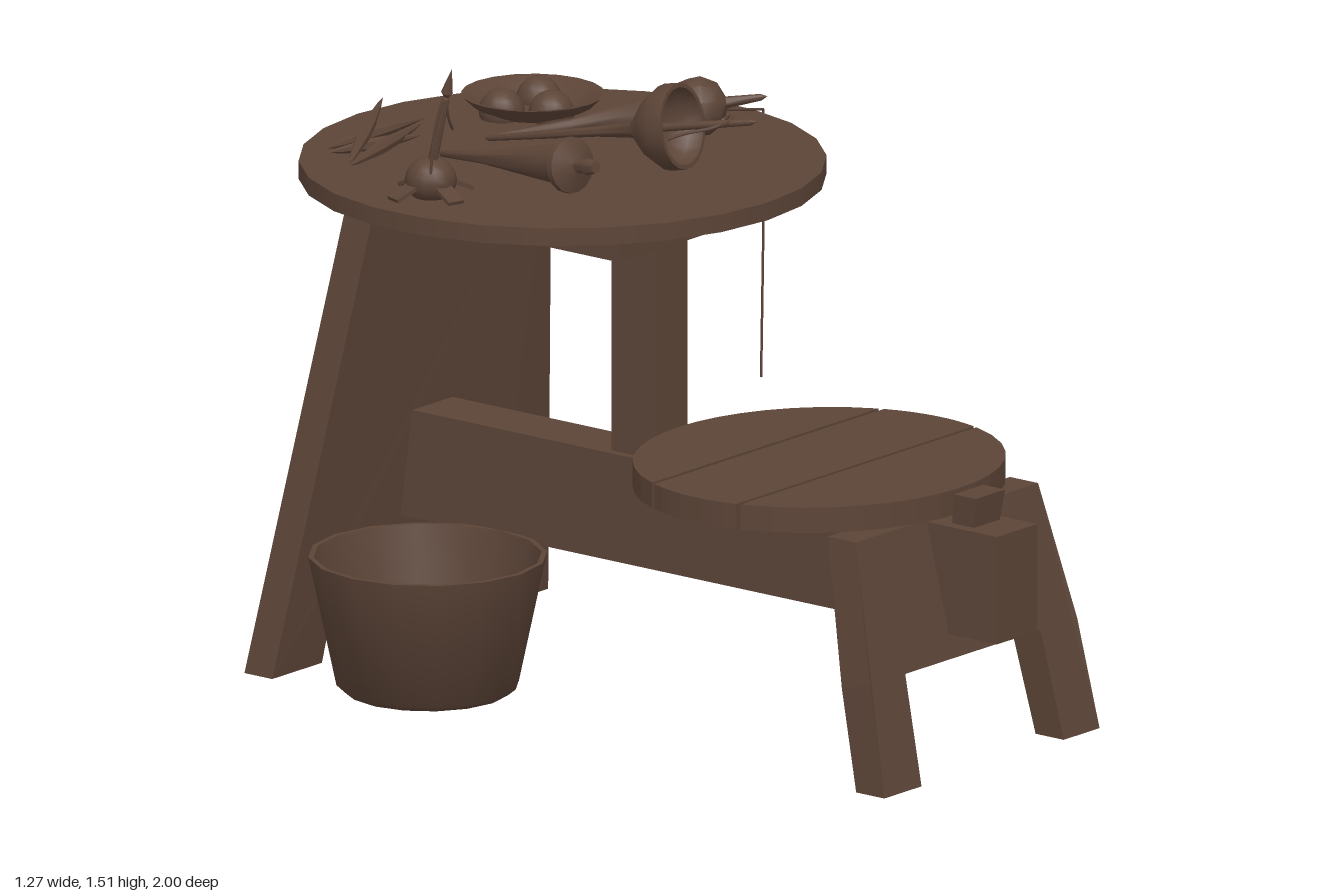
import * as THREE from 'three';
import { toCreasedNormals } from 'three/addons/utils/BufferGeometryUtils.js';

const V = (x, y, z) => new THREE.Vector3(x, y, z);

export function createModel() {
  const model = new THREE.Group();
  model.name = 'workBenchWithToys';
  const wood = new THREE.MeshStandardMaterial({ color: 0x5c4437, side: THREE.DoubleSide });
  wood.name = 'darkWood';

  const add = (name, geometry, parent = model) => {
    const mesh = new THREE.Mesh(geometry, wood);
    mesh.name = name;
    parent.add(mesh);
    return mesh;
  };
  // Box from its limits on each axis
  const box = (name, x0, x1, y0, y1, z0, z1) => {
    const m = add(name, new THREE.BoxGeometry(x1 - x0, y1 - y0, z1 - z0));
    m.position.set((x0 + x1) / 2, (y0 + y1) / 2, (z0 + z1) / 2);
    return m;
  };
  const extrude = (points, depth) => new THREE.ExtrudeGeometry(
    new THREE.Shape(points.map(([x, y]) => new THREE.Vector2(x, y))), { depth, bevelEnabled: false });
  // Turned part: profile of [radius, height], base at a, pointing to b
  const turned = (name, profile, a, b, sides = 12, parent = model) => {
    const pts = profile.map(([r, h]) => new THREE.Vector2(r, h));
    const m = add(name, toCreasedNormals(new THREE.LatheGeometry(pts, sides), 0.8), parent);
    m.position.copy(a);
    m.quaternion.setFromUnitVectors(V(0, 1, 0), b.clone().sub(a).normalize());
    return m;
  };
  const cord = (name, points, r, parent = model) =>
    add(name, new THREE.TubeGeometry(new THREE.CatmullRomCurve3(points), 24, r, 5), parent);

  // Slanted leg boards with a cut-out between the feet
  const legBoard = (name, outline, z0, depth, slope) => {
    const g = extrude(outline, depth);
    const p = g.attributes.position;
    for (let i = 0; i < p.count; i++) {
      const y = p.getY(i), z = p.getZ(i);
      p.setZ(i, z0 + z + slope * y);
      // the top of the cut-out is square to the board
      if (y > 0.2 && y < 0.3) p.setY(i, y - slope * z);
    }
    g.computeVertexNormals();
    add(name, g);
  };
  legBoard('frontLegs', [[-0.42, 0], [-0.285, 0], [-0.275, 0.235], [0.215, 0.235], [0.23, 0],
    [0.36, 0], [0.348, 0.235], [0.305, 0.57], [-0.355, 0.57], [-0.403, 0.235]], 0.845, 0.083, -0.24);
  legBoard('backLegs', [[-0.51, 0], [-0.33, 0], [-0.3, 0.26], [0.28, 0.26], [0.31, 0],
    [0.49, 0], [0.305, 1.155], [-0.32, 1.155]], -0.888, 0.082, 0.139);

  // Long beam, its back end cut at a slant
  const beam = extrude([[-1, 0.31], [1, 0.31], [1, 0.565], [-0.965, 0.565]], 0.146);
  beam.rotateY(-Math.PI / 2);
  beam.translate(0.046, 0, 0);
  add('beam', beam);

  // Wedge pegs through both ends of the beam
  for (const [name, z, lean] of [['frontWedge', 0.845, 0.15], ['backWedge', -0.9, -0.07]]) {
    const g = extrude([[-0.065, 0.5], [0.015, 0.5], [0.027, 0.637], [-0.08, 0.637]], 0.065);
    const p = g.attributes.position;
    for (let i = 0; i < p.count; i++) p.setZ(i, p.getZ(i) + z + lean * (p.getY(i) - 0.565));
    g.computeVertexNormals();
    add(name, g);
  }

  // Post and brace carrying the table top
  box('post', -0.08, 0.03, 0.56, 1.1, -0.155, -0.02);
  box('brace', -0.29, 0.22, 1.09, 1.157, -0.655, 0.04);
  add('tableTop', new THREE.CylinderGeometry(0.605, 0.605, 0.042, 26)).position.set(0.028, 1.174, -0.387);

  // Oval seat of three planks
  const halfWidth = z => 0.445 * Math.sqrt(Math.max(0, 1 - ((z - 0.41) / 0.415) ** 2));
  [[-0.005, 0.25], [0.262, 0.515], [0.526, 0.825]].forEach(([z0, z1], i) => {
    const right = [], left = [];
    for (let k = 0; k <= 8; k++) {
      // sample more closely near the rounded tips
      const t = i === 0 ? (k / 8) ** 2 : i === 2 ? 1 - (1 - k / 8) ** 2 : k / 8;
      const z = z0 + (z1 - z0) * t, w = halfWidth(z);
      right.push([-0.02 + w, -z]);
      left.unshift([-0.02 - w, -z]);
    }
    const g = extrude([...right, ...left], 0.06);
    g.rotateX(-Math.PI / 2);
    add('seatPlank' + (i + 1), g).position.y = 0.574;
  });

  // Open bucket under the table
  turned('bucket', [[0, 0.004], [0.19, 0.004], [0.21, 0.02], [0.275, 0.325], [0.262, 0.325], [0.198, 0.03], [0, 0.03]],
    V(-0.365, 0, -0.465), V(-0.365, 1, -0.465), 16);

  // Bowl with three balls
  turned('bowl', [[0, 0.003], [0.09, 0.003], [0.14, 0.025], [0.165, 0.05], [0.155, 0.05], [0.13, 0.028], [0.085, 0.012], [0, 0.012]],
    V(0.28, 1.195, -0.68), V(0.28, 2, -0.68), 20);
  for (const [x, z] of [[0.21, -0.715], [0.345, -0.715], [0.267, -0.615]])
    add('ball', new THREE.SphereGeometry(0.053, 14, 10)).position.set(x, 1.212, z);

  // Thin pods
  const pods = [
    [V(-0.35, 1.205, -0.71), V(-0.03, 1.268, -0.87)],
    [V(-0.29, 1.208, -0.83), V(0.06, 1.208, -0.82)],
    [V(-0.36, 1.205, -0.7), V(0, 1.215, -0.78)],
    [V(-0.3, 1.205, -0.81), V(-0.05, 1.205, -0.74)]];
  for (const [a, b] of pods) {
    const l = a.distanceTo(b);
    turned('pod', [[0, 0], [0.008, 0.12 * l], [0.016, 0.4 * l], [0.015, 0.6 * l], [0.006, 0.88 * l], [0, l]], a, b, 7);
  }

  // Tapered spinning toys lying on the table
  turned('slimSpinner', [[0, 0], [0.008, 0.01], [0.015, 0.15], [0.045, 0.4], [0.05, 0.435], [0.065, 0.445],
    [0.065, 0.46], [0.03, 0.475], [0.016, 0.48], [0.016, 0.5], [0.02, 0.515], [0.014, 0.54], [0, 0.54]],
    V(-0.145, 1.205, -0.61), V(-0.215, 1.27, -0.16), 16);
  turned('hollowSpinner', [[0, 0], [0.007, 0.01], [0.012, 0.3], [0.02, 0.4], [0.07, 0.445], [0.1, 0.49], [0.1, 0.53],
    [0.09, 0.53], [0.085, 0.495], [0.05, 0.465], [0.01, 0.455], [0.008, 0.71], [0, 0.73]],
    V(0.02, 1.205, -0.61), V(0.105, 1.302, -0.11), 20);
  turned('roundSpinner', [[0, 0], [0.008, 0.01], [0.016, 0.2], [0.035, 0.34], [0.05, 0.41], [0.068, 0.48],
    [0.07, 0.51], [0.05, 0.545], [0.014, 0.56], [0.008, 0.64], [0, 0.655]],
    V(0.02, 1.205, -0.61), V(0.33, 1.285, -0.215), 10);
  // Cord loop on the hollow spinner
  const loop = add('cordLoop', new THREE.TorusGeometry(0.018, 0.005, 5, 14));
  loop.position.set(0.13, 1.33, 0.01);
  loop.rotation.set(1.1, 0.4, 0);
  cord('looseCord', [V(0.14, 1.335, 0.02), V(0.1, 1.32, 0.0), V(0.05, 1.31, -0.04), V(0.005, 1.302, -0.06)], 0.004);

  // Cord hanging over the table edge
  cord('tableCord', [V(0.35, 1.27, -0.27), V(0.45, 1.24, -0.278), V(0.63, 1.2, -0.285)], 0.0035);
  cord('hangingCord', [V(0.63, 1.2, -0.285), V(0.625, 1.0, -0.28), V(0.61, 0.57, -0.275)], 0.003);

  // Standing toy: dome, four flaps and a pointed mast
  const toy = new THREE.Group();
  toy.name = 'standingToy';
  toy.position.set(-0.415, 1.195, -0.415);
  model.add(toy);
  const dome = add('dome', new THREE.SphereGeometry(0.06, 14, 10), toy);
  dome.position.y = 0.04;
  dome.scale.y = 0.9;
  for (let i = 0; i < 4; i++) {
    const arm = new THREE.Group();
    arm.name = 'flapArm';
    arm.rotation.y = -0.3 + i * Math.PI / 2;
    toy.add(arm);
    const flap = add('flap', new THREE.BoxGeometry(0.08, 0.009, 0.042), arm);
    flap.position.set(0.068, 0.023, 0);
    flap.rotation.z = -0.4;
  }
  turned('mast', [[0.012, 0], [0.009, 0.17], [0.006, 0.175], [0.014, 0.185], [0.006, 0.22], [0, 0.245]],
    V(-0.003, 0.075, 0.005), V(-0.003, 0.315, 0.065), 7, toy);
  cord('mastCord', [V(0.042, 0.155, 0.03), V(0.015, 0.19, 0.04), V(-0.008, 0.245, 0.048),
    V(-0.03, 0.16, 0.035), V(-0.038, 0.06, 0.03)], 0.0035, toy);

  return model;
}
